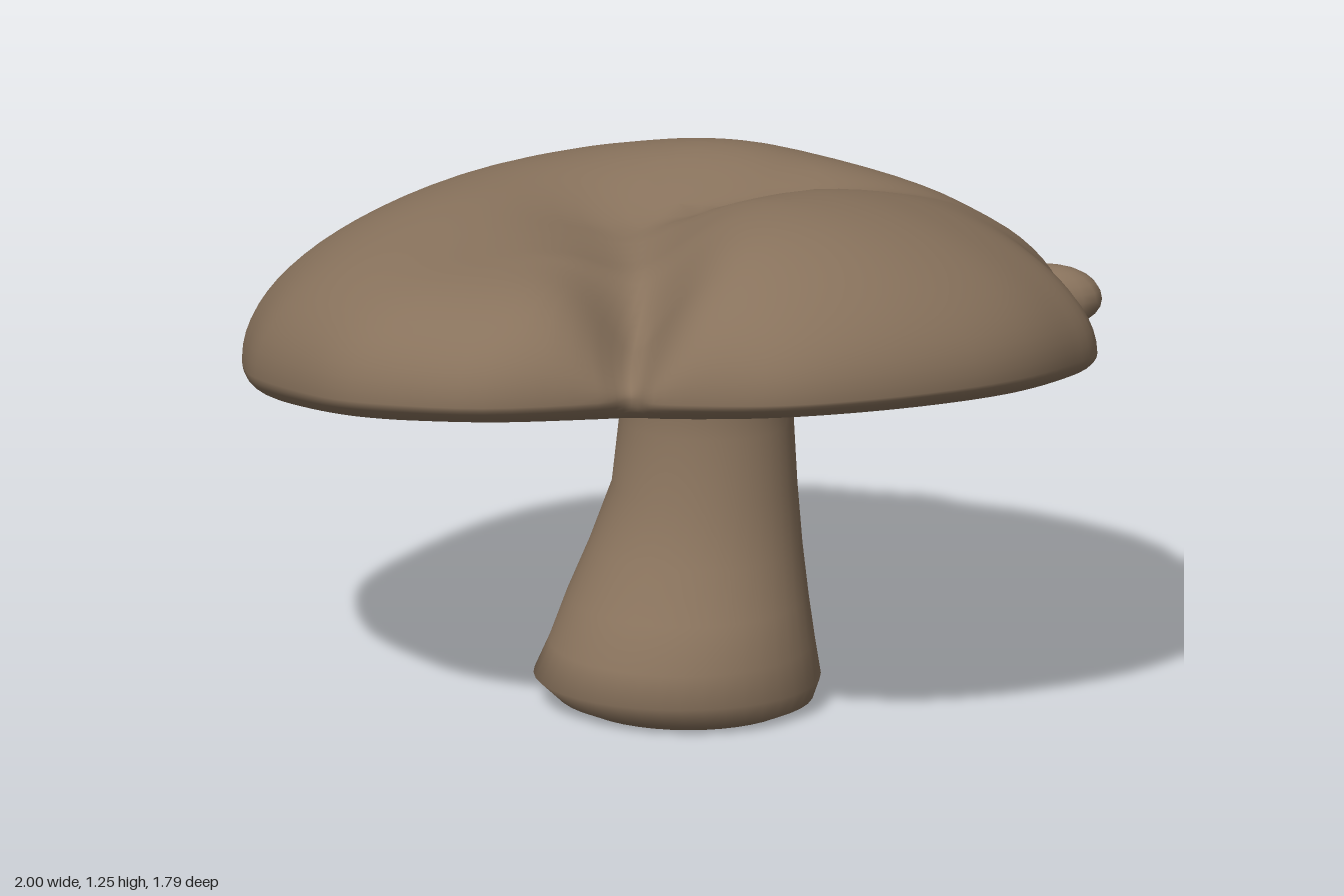
import * as THREE from 'three';

const brown = new THREE.MeshStandardMaterial({ color: 0x88725c });
brown.name = 'mushroom brown';

// Joins closed rings of points, listed from the bottom to the top, into a smooth skin
function skin(rings) {
  const n = rings[0].length, pos = [], index = [];
  rings.forEach(ring => ring.forEach(p => pos.push(...p)));
  for (let i = 0; i < rings.length - 1; i++) {
    for (let j = 0; j < n; j++) {
      const a = i * n + j, b = i * n + (j + 1) % n, c = a + n, d = b + n;
      index.push(a, c, b, b, c, d);
    }
  }
  const g = new THREE.BufferGeometry();
  g.setAttribute('position', new THREE.Float32BufferAttribute(pos, 3));
  g.setIndex(index);
  g.computeVertexNormals();
  return g;
}

function mesh(name, geometry) {
  const m = new THREE.Mesh(geometry, brown);
  m.name = name;
  return m;
}

const hill = (x, z, cx, cz, w) => Math.exp(-((x - cx) ** 2 + (z - cz) ** 2) / (w * w));

// Cap outline seen from above (x, z), from the left side round past the front notch
const outline = [
  [1, 0.14], [0.97, 0.28], [0.9, 0.45], [0.79, 0.6], [0.58, 0.77], [0.38, 0.86], [0.2, 0.86],
  [0.07, 0.83], [0.01, 0.77], [-0.06, 0.82], [-0.32, 0.89], [-0.55, 0.83], [-0.68, 0.76],
  [-0.8, 0.63], [-0.92, 0.45], [-0.96, 0.34], [-1, 0.1], [-0.98, -0.08], [-0.88, -0.35],
  [-0.76, -0.58], [-0.6, -0.75], [-0.32, -0.87], [-0.12, -0.9], [0.03, -0.84], [0.16, -0.84],
  [0.3, -0.73], [0.42, -0.71], [0.57, -0.63], [0.75, -0.48], [0.84, -0.33], [0.88, -0.22], [0.88, -0.1],
];

// Fold running back from the notch into a basin and bending to the left: x, z, depth, width
const fold = [[0.01, 0.8, 0.27, 0.1], [0, 0.62, 0.23, 0.12], [-0.03, 0.4, 0.13, 0.15],
  [-0.1, 0.12, 0.12, 0.22], [0.25, -0.07, 0.08, 0.14], [0.6, -0.18, 0.02, 0.12]];

function foldDepth(x, z) {
  let depth = 0;
  for (let i = 0; i < fold.length - 1; i++) {
    const [ax, az, ad, aw] = fold[i], [bx, bz, bd, bw] = fold[i + 1];
    const dx = bx - ax, dz = bz - az;
    const t = THREE.MathUtils.clamp(((x - ax) * dx + (z - az) * dz) / (dx * dx + dz * dz), 0, 1);
    const d = Math.hypot(x - ax - t * dx, z - az - t * dz) / (aw + (bw - aw) * t);
    depth = Math.max(depth, (ad + (bd - ad) * t) * Math.exp(-(d ** 1.6)));
  }
  return depth;
}

// The rim lies on a plane tilted down to the back
const rimHeight = (x, z) => 0.8 + 0.05 * x + 0.13 * z;

// The dome is blunt at the front left and slopes more evenly at the back
function topHeight(x, z, r) {
  const crown = 1.225 + 0.06 * hill(x, z, 0.42, 0.5, 0.4) - 0.05 * hill(x, z, -0.35, 0.45, 0.3)
    + 0.015 * hill(x, z, 0.1, -0.25, 0.2) - foldDepth(x, z);
  const dome = Math.sqrt(Math.max(0, 1 - r ** (2.7 + 1.7 * z + 0.5 * x)));
  return rimHeight(x, z) + (crown - rimHeight(x, z)) * dome;
}

// Small lumps on the underside
const lumps = [[-0.6, -0.3], [-0.4, -0.55], [-0.1, -0.65], [-0.65, 0.05], [0.3, -0.5], [0.6, 0.1]];

// The lip hangs lowest at the back
function underHeight(x, z, r) {
  const lip = 0.04 + r * r * (0.08 - 0.06 * z - 0.015 * x);
  let y = rimHeight(x, z) - lip * Math.sqrt(Math.max(0, 1 - r ** 8));
  for (const [cx, cz] of lumps) y -= 0.015 * hill(x, z, cx, cz, 0.06);
  return y;
}

function capGeometry() {
  const curve = new THREE.CatmullRomCurve3(outline.map(([x, z]) => new THREE.Vector3(x, 0, z)), true);
  const n = outline.length * 4, steps = 26, spread = 8, rings = [];
  const edge = Array.from({ length: n }, (_, j) => curve.getPoint(j / n));
  // Softened outline for the inner rings, so that dents stay near the rim
  const soft = edge.map((_, j) => {
    const sum = new THREE.Vector3();
    for (let k = -spread; k <= spread; k++) sum.add(edge[(j + k + n) % n]);
    return sum.divideScalar(2 * spread + 1);
  });
  const ring = (t, height) => edge.map((p, j) => {
    const r = Math.sin(t * Math.PI / 2);
    const q = soft[j].clone().lerp(p, r ** 6).multiplyScalar(r);
    return [q.x, height(q.x, q.z, r), q.z];
  });
  for (let i = 0; i <= steps; i++) rings.push(ring(i / steps, underHeight));
  for (let i = steps - 1; i >= 0; i--) rings.push(ring(i / steps, topHeight));
  return skin(rings);
}

// Stem cross-sections: height, x min, x max, z min, z max
const sections = [
  [0.005, 0.03, 0.03, 0.2, 0.2], [0.005, -0.2, 0.3, -0.02, 0.44], [0.025, -0.25, 0.345, -0.06, 0.48],
  [0.07, -0.305, 0.36, -0.1, 0.5], [0.15, -0.27, 0.345, -0.11, 0.495], [0.25, -0.235, 0.325, -0.11, 0.43],
  [0.36, -0.19, 0.305, -0.11, 0.345], [0.5, -0.14, 0.29, -0.1, 0.29], [0.65, -0.125, 0.28, -0.095, 0.26],
  [0.74, -0.125, 0.28, -0.09, 0.25], [0.84, -0.15, 0.3, -0.11, 0.27],
];

function stemGeometry() {
  const n = 40;
  return skin(sections.map(([y, x0, x1, z0, z1]) => Array.from({ length: n }, (_, j) => {
    const a = j / n * Math.PI * 2 - Math.PI;
    // Swelling at the back left
    const s = 1 + 0.2 * Math.exp(-(((a + 0.85) / 0.28) ** 2) - ((y - 0.26) / 0.08) ** 2);
    return [(x0 + x1) / 2 + (x1 - x0) / 2 * Math.cos(a) * s, y, (z0 + z1) / 2 + (z1 - z0) / 2 * Math.sin(a) * s];
  })));
}

export function createModel() {
  const model = new THREE.Group();
  model.name = 'mushroom';
  model.add(mesh('cap', capGeometry()), mesh('stem', stemGeometry()));

  // Knob on the left edge of the cap
  const knob = mesh('capKnob', new THREE.SphereGeometry(1, 16, 12));
  knob.scale.set(0.12, 0.075, 0.07);
  knob.position.set(0.83, 0.88, -0.25);
  model.add(knob);
  return model;
}
